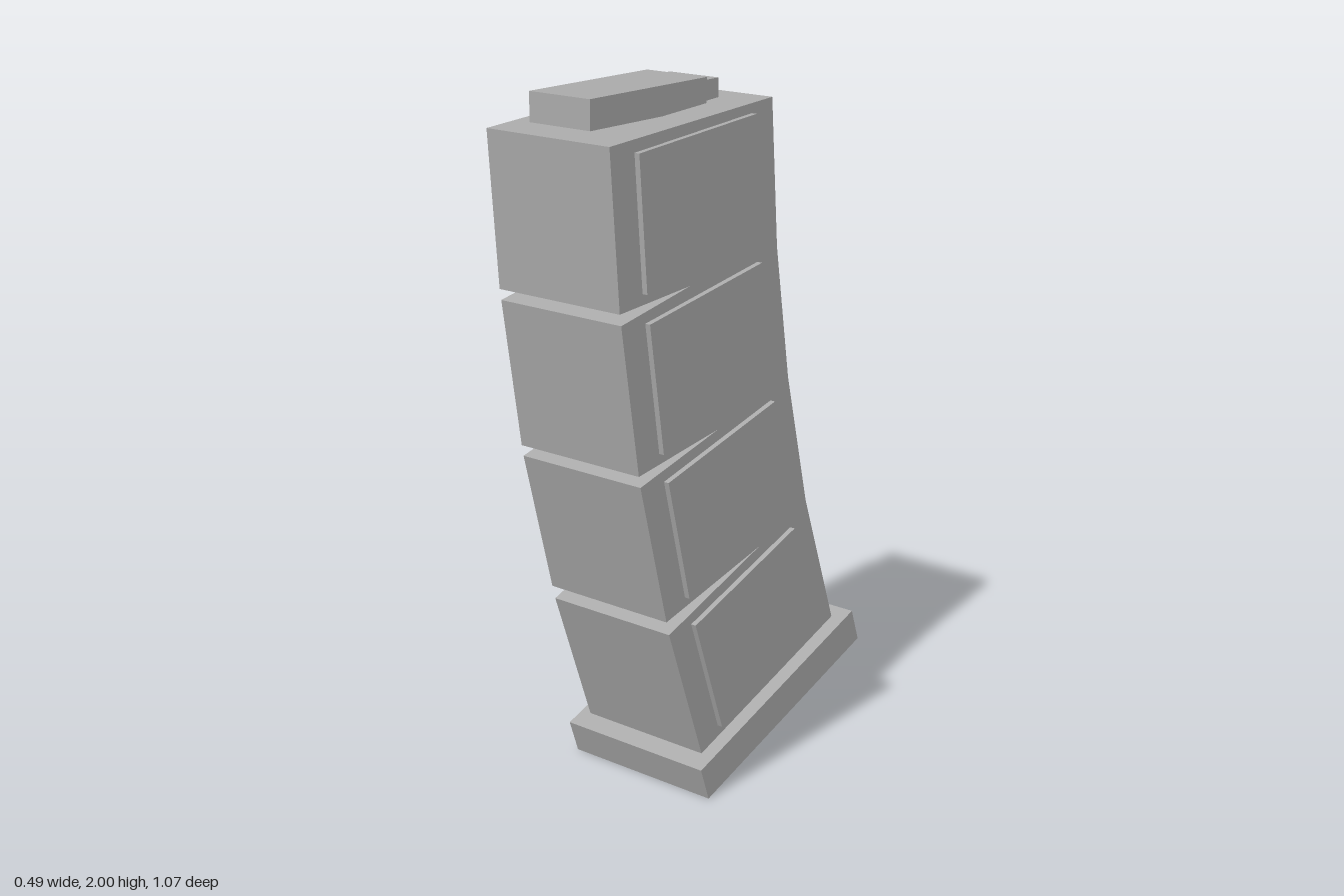
import * as THREE from 'three';

const grey = new THREE.MeshStandardMaterial({ color: 0xaaaaaa });
grey.name = 'grey';

// Extrudes a side outline of [z, y] points across x, centred on x = 0
function slab(name, outline, halfWidth, centreX = 0) {
  const shape = new THREE.Shape(outline.map(([z, y]) => new THREE.Vector2(z, y)));
  const geometry = new THREE.ExtrudeGeometry(shape, { depth: 2 * halfWidth, bevelEnabled: false });
  geometry.translate(0, 0, -halfWidth).rotateY(-Math.PI / 2).translate(centreX, 0, 0);
  const mesh = new THREE.Mesh(geometry, grey);
  mesh.name = name;
  return mesh;
}

function block(name, width, y0, y1, z0, z1) {
  const mesh = new THREE.Mesh(new THREE.BoxGeometry(width, y1 - y0, z1 - z0), grey);
  mesh.position.set(0, (y0 + y1) / 2, (z0 + z1) / 2);
  mesh.name = name;
  return mesh;
}

export function createModel() {
  const model = new THREE.Group();
  model.name = 'curvedCase';

  // Curved body with three wedge notches in the front
  model.add(slab('body', [
    [0.54, 1.9], [0.507, 1.469], [0.225, 1.489],
    [0.502, 1.438], [0.437, 1.018], [0.103, 1.066],
    [0.431, 0.986], [0.326, 0.572], [-0.084, 0.67],
    [0.315, 0.531], [0.173, 0.123],
    [-0.447, 0.34], [-0.305, 0.747], [-0.21, 1.14], [-0.15, 1.525], [-0.12, 1.94],
  ], 0.209));

  // Raised side panels, one per segment on each side
  const panels = [
    [[0.446, 1.872], [-0.031, 1.908], [-0.057, 1.537], [0.418, 1.505]],
    [[0.408, 1.425], [-0.062, 1.5], [-0.12, 1.135], [0.354, 1.06]],
    [[0.335, 0.977], [-0.129, 1.092], [-0.215, 0.737], [0.247, 0.62]],
    [[0.22, 0.532], [-0.231, 0.686], [-0.348, 0.34], [0.1, 0.183]],
  ];
  for (const [side, label] of [[1, 'left'], [-1, 'right']]) {
    panels.forEach((outline, i) =>
      model.add(slab(`${label}Panel${i + 1}`, outline, 0.0125, side * 0.2125)));
  }

  // Tilted base plate
  model.add(slab('basePlate', [[0.222, 0.1], [0.188, 0], [-0.533, 0.25], [-0.499, 0.35]], 0.247));

  // Top block and its smaller rear step
  model.add(block('topBlock', 0.206, 1.92, 2, 0.027, 0.491));
  model.add(block('topBlockRear', 0.168, 1.925, 1.988, -0.047, 0.027));

  return model;
}
